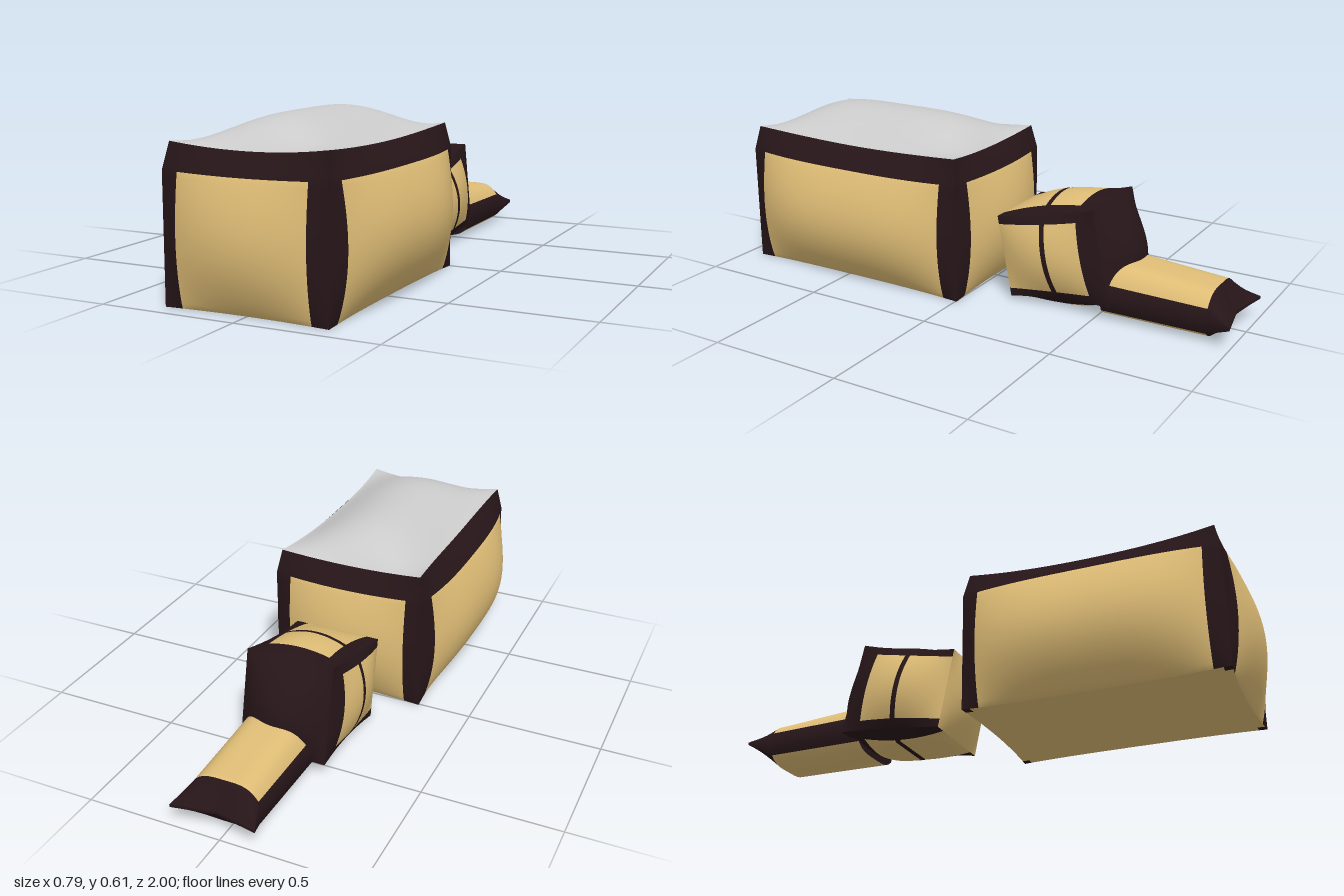
import * as THREE from 'three';
import { mergeGeometries } from 'three/addons/utils/BufferGeometryUtils.js';

const mats = {
  canvas: new THREE.MeshStandardMaterial({ color: 0xdfbd76 }),
  trim: new THREE.MeshStandardMaterial({ color: 0x261518 }),
  cover: new THREE.MeshStandardMaterial({ color: 0xcccccc }),
};
const { abs, max, min, sin, PI } = Math;
const clamp01 = (v) => max(0, min(1, v));
const mix = THREE.MathUtils.lerp;

// One rectangle of a cube face, bent by map(a, b, c), with smooth normals
function panel(map, axis, sign, u0, u1, v0, v1) {
  const U = (axis + 1) % 3, V = (axis + 2) % 3, e = 0.004;
  const at = (u, v) => {
    const p = [0, 0, 0];
    p[axis] = sign; p[U] = u; p[V] = v;
    return new THREE.Vector3(...map(...p));
  };
  const nu = max(2, Math.ceil((u1 - u0) * 14)), nv = max(2, Math.ceil((v1 - v0) * 14));
  const pos = [], nor = [], idx = [];
  for (let j = 0; j <= nv; j++) for (let i = 0; i <= nu; i++) {
    const u = mix(u0, u1, i / nu), v = mix(v0, v1, j / nv);
    const du = at(min(1, u + e), v).sub(at(max(-1, u - e), v));
    const dv = at(u, min(1, v + e)).sub(at(u, max(-1, v - e)));
    pos.push(...at(u, v).toArray());
    nor.push(...du.cross(dv).multiplyScalar(sign).normalize().toArray());
    if (i < nu && j < nv) {
      const k = j * (nu + 1) + i, r = k + nu + 1;
      if (sign > 0) idx.push(k, k + 1, r + 1, k, r + 1, r);
      else idx.push(k, r + 1, k + 1, k, r, r + 1);
    }
  }
  const g = new THREE.BufferGeometry();
  g.setAttribute('position', new THREE.Float32BufferAttribute(pos, 3));
  g.setAttribute('normal', new THREE.Float32BufferAttribute(nor, 3));
  g.setIndex(idx);
  return g;
}

// Stuffed cushion: cube faces cut at the seams and sorted by fabric
function cushion(name, map, seams, fabricOf) {
  const group = new THREE.Group();
  group.name = name;
  const parts = {};
  for (let axis = 0; axis < 3; axis++) for (const sign of [-1, 1]) {
    const U = (axis + 1) % 3, V = (axis + 2) % 3;
    const us = [-1, ...seams[U], 1], vs = [-1, ...seams[V], 1];
    for (let i = 0; i + 1 < us.length; i++) for (let j = 0; j + 1 < vs.length; j++) {
      const mid = [0, 0, 0];
      mid[axis] = sign;
      mid[U] = (us[i] + us[i + 1]) / 2;
      mid[V] = (vs[j] + vs[j + 1]) / 2;
      const fabric = fabricOf(axis, sign, ...mid);
      (parts[fabric] ??= []).push(panel(map, axis, sign, us[i], us[i + 1], vs[j], vs[j + 1]));
    }
  }
  for (const [fabric, list] of Object.entries(parts)) {
    const mesh = new THREE.Mesh(mergeGeometries(list), mats[fabric]);
    mesh.name = `${name} ${fabric}`;
    group.add(mesh);
  }
  return group;
}

// Large body: swollen sides and ends, domed top, flat base
function bodyMap(a, b, c) {
  const h = (b + 1) / 2, lean = clamp01((h - 0.83) / 0.17);
  const swell = sin(PI * h ** 0.85);
  const dome = 0.1 * (1 - a * a) ** 1.3 * (1 - c ** 4) - 0.02 * (1 - a * a * c * c);
  return [
    a * (0.298 - 0.018 * lean + (0.113 * swell - 0.015) * (1 - abs(c) ** 3)),
    0.535 * h + dome * h ** 8,
    0.465 + c * (0.47 - 0.018 * lean + (0.08 * swell - 0.015) * (1 - a * a)),
  ];
}
function bodyFabric(axis, sign, a, b, c) {
  if (axis === 1) {
    if (sign > 0) return 'cover';
    return abs(a) > 0.9 && abs(c) > 0.94 ? 'trim' : 'canvas';
  }
  const atCorner = axis === 0 ? abs(c) > 0.87 : abs(a) > 0.79;
  return b > 0.66 || atCorner ? 'trim' : 'canvas';
}

// Middle cushion: tilted box, swollen all round and resting on the ground
function middleMap(a, b, c) {
  const h = (b + 1) / 2, t = (1 - c) / 2;
  const A = 1 - a * a, B = 1 - b * b, C = 1 - c * c;
  const z = mix(mix(-0.16, -0.56, t), mix(-0.1, -0.48, t), h);
  const y = mix(mix(0.01, 0.05, t), mix(0.31, 0.395, t), h);
  return [
    a * (0.165 + (0.05 * B - 0.008) * C),
    max(0, y + b * (0.05 * A - 0.006) * C * (b > 0 ? 1 : 1.4)),
    z + c * (c > 0 ? 0.045 : 0.085) * A * B,
  ];
}
function middleFabric(axis, sign, a, b, c) {
  if (axis === 2) return sign > 0 ? 'canvas' : 'trim';
  const belt = c > 0 && c < 0.1;
  const edge = axis === 0 ? abs(b) > 0.8 : abs(a) > 0.73;
  return belt || edge || c < -0.64 ? 'trim' : 'canvas';
}

// Low end cushion: rounded slab pinched to a flared seam at its tip
function endMap(a, b, c) {
  const t = (1 - c) / 2, s = clamp01((t - 0.81) / 0.19), B = 1 - b * b;
  const crown = (1 - a ** 4) * (1 - s);
  const top = mix(mix(0.13, 0.12, t), 0.085, s) + mix(0.072, 0.042, t) * crown;
  const bottom = mix(0.03, 0.075, s) - 0.03 * crown;
  return [
    0.025 + a * (mix(mix(0.13, 0.122, t), 0.157, s) + 0.012 * B * (1 - s)),
    mix(bottom, top, (b + 1) / 2),
    -0.52 - 0.48 * t + 0.03 * (1 - abs(a)) * s,
  ];
}
const endFabric = (axis, sign, a, b, c) => (axis !== 1 || c < -0.62 ? 'trim' : 'canvas');

export function createModel() {
  const model = new THREE.Group();
  model.name = 'cushionSet';
  model.add(
    cushion('body', bodyMap, [[-0.9, -0.79, 0.79, 0.9], [0.66], [-0.94, -0.87, 0.87, 0.94]], bodyFabric),
    cushion('middleCushion', middleMap, [[-0.73, 0.73], [-0.8, 0.8], [-0.64, 0, 0.1]], middleFabric),
    cushion('endCushion', endMap, [[0], [0], [-0.62]], endFabric),
  );
  return model;
}
